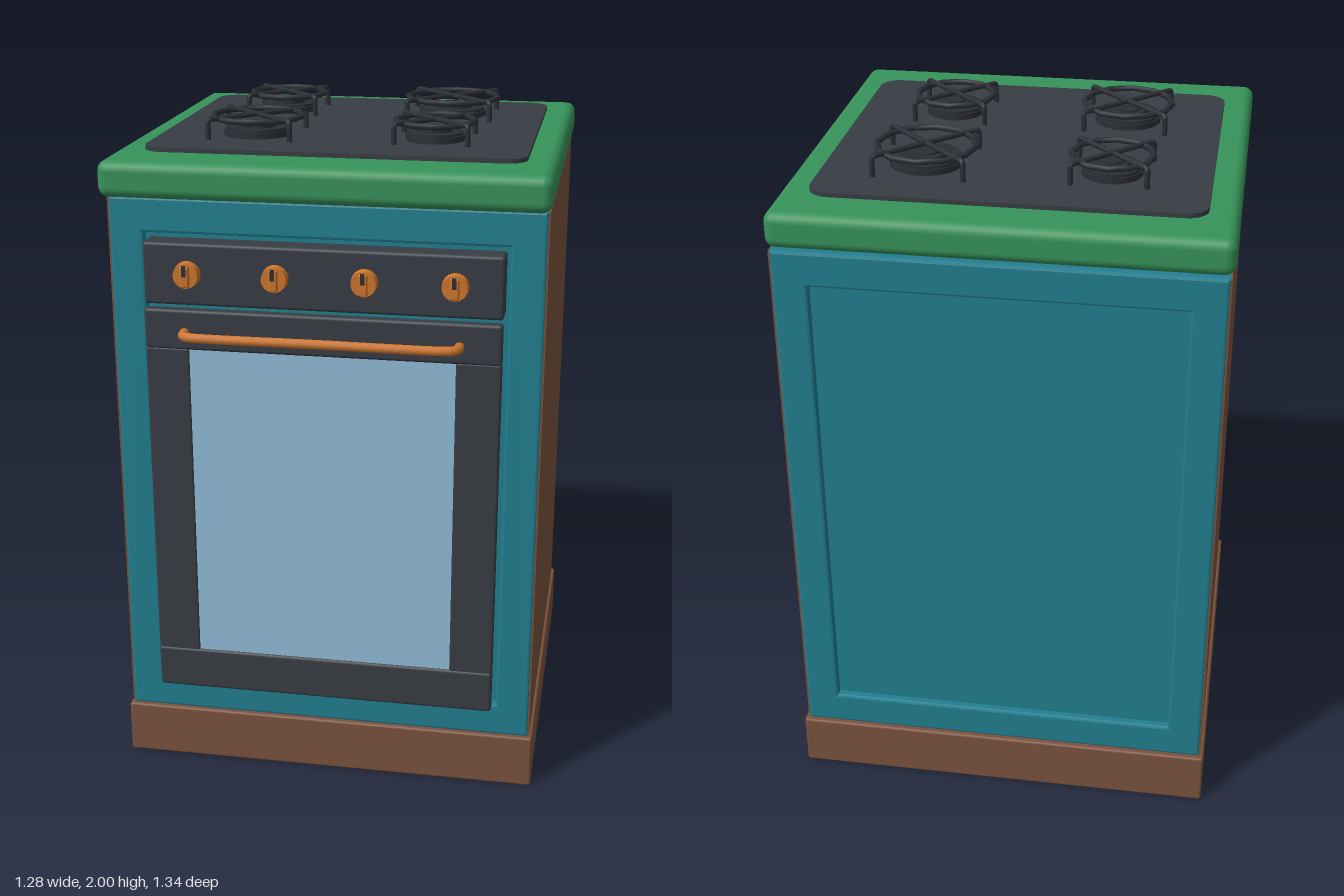
import * as THREE from 'three';
import { RoundedBoxGeometry } from 'three/addons/geometries/RoundedBoxGeometry.js';

const mat = (name, color) => {
  const m = new THREE.MeshStandardMaterial({ color });
  m.name = name;
  return m;
};

export function createModel() {
  const teal = mat('teal enamel', 0x227f90);
  const brown = mat('brown panel', 0x7a523d);
  const green = mat('green worktop', 0x37935a);
  const dark = mat('charcoal', 0x383d44);
  const iron = mat('burner iron', 0x2b2f35);
  const orange = mat('copper', 0xcd752c);
  const glass = mat('window glass', 0x90bcd8);

  const stove = new THREE.Group();
  stove.name = 'stove';
  const add = (name, geo, material, x = 0, y = 0, z = 0, parent = stove) => {
    const m = new THREE.Mesh(geo, material);
    m.name = name;
    m.position.set(x, y, z);
    parent.add(m);
    return m;
  };
  // Rounded block given by its extents on each axis
  const block = (name, material, x0, x1, y0, y1, z0, z1, r, parent = stove) =>
    add(name, new RoundedBoxGeometry(x1 - x0, y1 - y0, z1 - z0, 3, r), material,
      (x0 + x1) / 2, (y0 + y1) / 2, (z0 + z1) / 2, parent);

  // Cabinet
  block('plinth', brown, -0.64, 0.64, 0, 0.167, -0.67, 0.555, 0.008);
  add('cabinetCore', new THREE.BoxGeometry(1.25, 1.64, 1.16), teal, 0, 0.99, -0.055);
  for (const s of [-1, 1]) {
    add('sidePanel', new THREE.BoxGeometry(0.006, 1.634, 1.196), brown, s * 0.627, 0.99, -0.055);
  }

  // Front and back frames surround shallow recesses
  const rect = (T, x, y0, y1) => new T([
    new THREE.Vector2(-x, y0), new THREE.Vector2(x, y0),
    new THREE.Vector2(x, y1), new THREE.Vector2(-x, y1)]);
  const frame = rect(THREE.Shape, 0.617, 0.178, 1.802);
  frame.holes.push(rect(THREE.Path, 0.533, 0.265, 1.715));
  const frameGeo = new THREE.ExtrudeGeometry(frame, {
    depth: 0.02, bevelEnabled: true, bevelThickness: 0.008, bevelSize: 0.008, bevelSegments: 2,
  });
  add('frontFrame', frameGeo, teal, 0, 0, 0.522);
  add('backFrame', frameGeo, teal, 0, 0, -0.652);

  // Worktop and hob plate
  block('worktop', green, -0.638, 0.638, 1.815, 1.92, -0.665, 0.612, 0.03);
  const w = 0.553, d0 = -0.45, d1 = 0.525, r = 0.06;
  const plate = new THREE.Shape();
  plate.moveTo(-w + r, d0);
  plate.absarc(w - r, d0 + r, r, -Math.PI / 2, 0);
  plate.absarc(w - r, d1 - r, r, 0, Math.PI / 2);
  plate.absarc(-w + r, d1 - r, r, Math.PI / 2, Math.PI);
  plate.absarc(-w + r, d0 + r, r, Math.PI, Math.PI * 1.5);
  const plateGeo = new THREE.ExtrudeGeometry(plate, { depth: 0.02, bevelEnabled: false });
  add('hobPlate', plateGeo.rotateX(-Math.PI / 2), dark, 0, 1.913, 0);

  // Burners: stepped cap under a ring grate with crossed, down-turned arms
  const burner = (x, z, R) => {
    const g = new THREE.Group();
    g.name = 'burner';
    g.position.set(x, 1.932, z);
    stove.add(g);
    [[0.7, 0, 0.018], [0.66, 0.018, 0.026], [0.4, 0.026, 0.036], [0.25, 0.036, 0.041]]
      .forEach(([k, y0, y1]) => add('burnerCap',
        new THREE.CylinderGeometry(R * k, R * k, y1 - y0, 24), iron, 0, (y0 + y1) / 2, 0, g));
    const ring = new THREE.TorusGeometry(R - 0.009, 0.009, 8, 12).rotateX(Math.PI / 2);
    add('grateRing', ring, iron, 0, 0.056, 0, g);
    const a = R * 1.2;
    const path = new THREE.CurvePath();
    const V = (px, py) => new THREE.Vector3(px, py, 0);
    path.add(new THREE.LineCurve3(V(-a, 0), V(-a, 0.05)));
    path.add(new THREE.QuadraticBezierCurve3(V(-a, 0.05), V(-a, 0.06), V(-a + 0.01, 0.06)));
    path.add(new THREE.LineCurve3(V(-a + 0.01, 0.06), V(a - 0.01, 0.06)));
    path.add(new THREE.QuadraticBezierCurve3(V(a - 0.01, 0.06), V(a, 0.06), V(a, 0.05)));
    path.add(new THREE.LineCurve3(V(a, 0.05), V(a, 0)));
    for (const s of [-1, 1]) {
      add('grateArm', new THREE.TubeGeometry(path, 80, 0.008, 8), iron, 0, 0, 0, g)
        .rotation.y = s * Math.PI / 4;
    }
  };
  burner(-0.268, -0.26, 0.126);
  burner(0.265, -0.26, 0.152);
  burner(-0.268, 0.185, 0.143);
  burner(0.265, 0.185, 0.126);

  // Control panel with knobs
  block('controlPanel', dark, -0.515, 0.515, 1.51, 1.692, 0.52, 0.597, 0.01);
  for (const x of [-0.385, -0.13, 0.125, 0.38]) {
    const k = new THREE.Group();
    k.name = 'knob';
    k.position.set(x, 1.603, 0.595);
    stove.add(k);
    add('knobDisc', new THREE.CylinderGeometry(0.036, 0.039, 0.028, 24).rotateX(Math.PI / 2),
      orange, 0, 0, 0.014, k);
    add('knobGrip', new RoundedBoxGeometry(0.026, 0.062, 0.024, 2, 0.005), orange, 0, 0, 0.03, k);
    add('knobMarker', new THREE.BoxGeometry(0.012, 0.032, 0.004), iron, 0, 0.018, 0.042, k);
  }

  // Oven door: rails, stiles, window
  const door = new THREE.Group();
  door.name = 'ovenDoor';
  stove.add(door);
  block('topRail', dark, -0.515, 0.515, 1.38, 1.5, 0.575, 0.61, 0.01, door);
  block('bottomRail', dark, -0.515, 0.515, 0.28, 0.412, 0.575, 0.61, 0.01, door);
  for (const s of [-1, 1]) {
    block('stile', dark, s * 0.45 - 0.065, s * 0.45 + 0.065, 0.405, 1.385, 0.575, 0.607, 0.008, door);
  }
  add('window', new THREE.BoxGeometry(0.78, 0.98, 0.022), glass, 0, 0.895, 0.592, door);

  // Door handle
  const handle = new THREE.CatmullRomCurve3([
    [-0.395, 0.6], [-0.395, 0.635], [-0.385, 0.65], [-0.36, 0.657], [0, 0.657],
    [0.36, 0.657], [0.385, 0.65], [0.395, 0.635], [0.395, 0.6],
  ].map(([x, z]) => new THREE.Vector3(x, 1.433, z)));
  add('doorHandle', new THREE.TubeGeometry(handle, 80, 0.014, 10), orange, 0, 0, 0, door);

  return stove;
}
